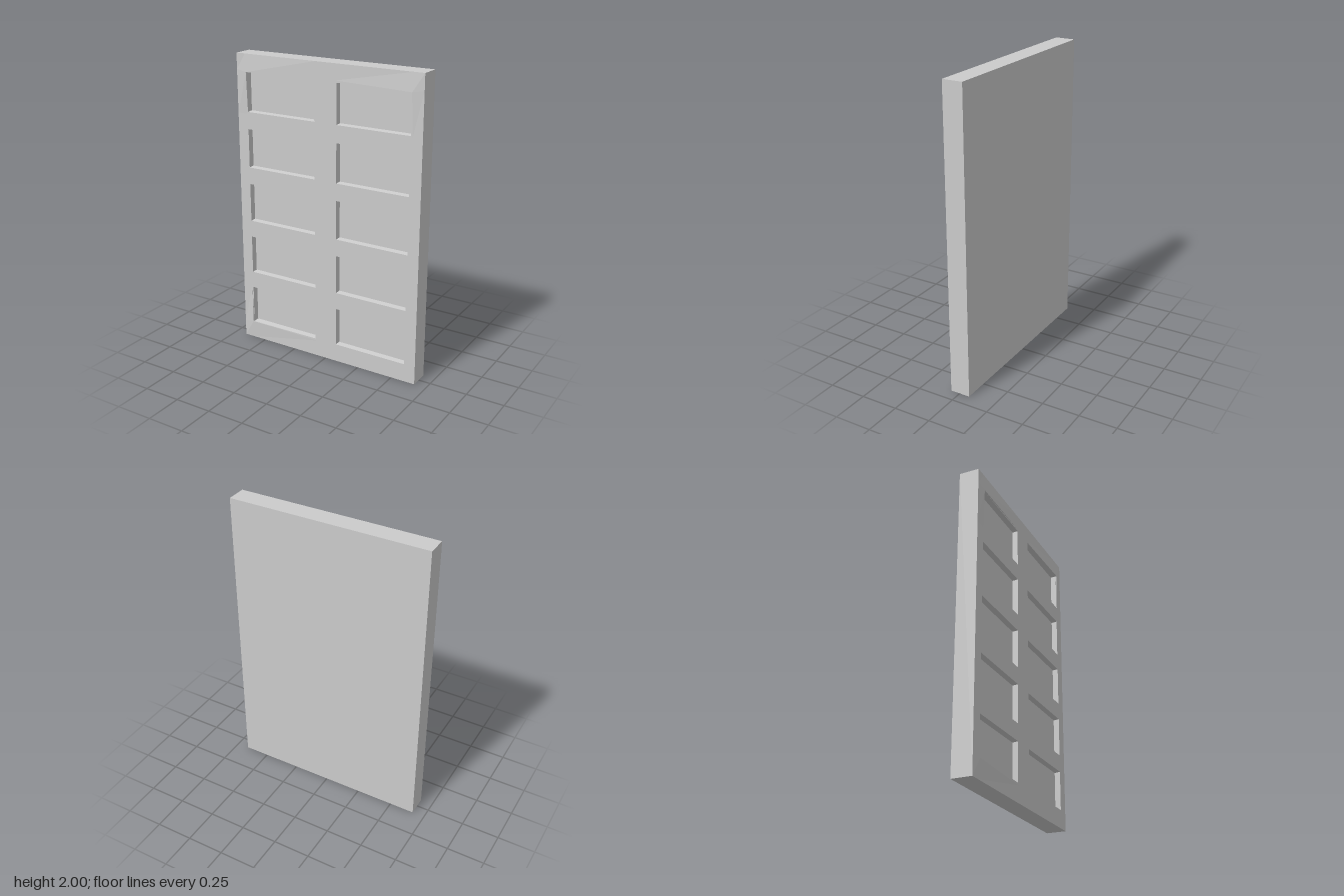
import * as THREE from 'three';

const W = 0.667, H = 2, BACK = -0.07, FRONT = 0.063, FLOOR = 0.027;
const ROWS = 5, PITCH = 0.375, FIRST = 0.253;

// Flat-sided mesh from quads; corners run counter-clockwise seen from outside.
function quadMesh(name, quads, material) {
  const pos = [];
  for (const [a, b, c, d] of quads) for (const p of [a, b, c, a, c, d]) pos.push(...p);
  const geometry = new THREE.BufferGeometry();
  geometry.setAttribute('position', new THREE.Float32BufferAttribute(pos, 3));
  geometry.computeVertexNormals();
  const mesh = new THREE.Mesh(geometry, material);
  mesh.name = name;
  return mesh;
}

// Four corners of an upright rectangle
const rect = (x0, x1, y0, y1, z) => [[x0, y0, z], [x1, y0, z], [x1, y1, z], [x0, y1, z]];

// Quads joining one loop to the next
const bridge = (outer, inner) => outer.map((p, i) => {
  const j = (i + 1) % outer.length;
  return [p, outer[j], inner[j], inner[i]];
});

export function createModel() {
  const group = new THREE.Group();
  group.name = 'panelDoor';
  const material = new THREE.MeshStandardMaterial({ color: 0xcccccc, side: THREE.DoubleSide });

  // Grid lines of the front face, along the outer edges of the panel borders
  const xs = [-W, -0.6, -0.07, 0.07, 0.6, W];
  const ys = [0];
  for (let r = 0; r < ROWS; r++) ys.push(FIRST + r * PITCH - 0.143, FIRST + r * PITCH + 0.143);
  ys.push(H);
  const last = ys.length - 2;

  // Three outer border corners are pulled inward and slightly proud
  const point = (i, j) => {
    const proud = (i === 1 && (j === 1 || j === last)) || (i === 4 && j === last);
    if (!proud) return [xs[i], ys[j], FRONT];
    return [Math.sign(xs[i]) * 0.592, j === 1 ? 0.123 : 1.883, 0.071];
  };
  const cell = (i, j) => [point(i, j), point(i + 1, j), point(i + 1, j + 1), point(i, j + 1)];

  // Slab: back face and four edges
  const backLoop = rect(-W, W, 0, H, BACK);
  const frontLoop = rect(-W, W, 0, H, FRONT);
  group.add(quadMesh('slab', [[...backLoop].reverse(), ...bridge(backLoop, frontLoop)], material));

  // Stiles and rails, with a recessed panel in each opening
  const frame = [];
  for (let i = 0; i < xs.length - 1; i++) {
    for (let j = 0; j < ys.length - 1; j++) {
      if (i % 2 === 0 || j % 2 === 0) {
        frame.push(cell(i, j));
        continue;
      }
      const cx = i === 1 ? -0.335 : 0.335;
      const cy = FIRST + ((j - 1) / 2) * PITCH;
      const rim = rect(cx - 0.255, cx + 0.255, cy - 0.13, cy + 0.13, FRONT);
      const floor = rect(cx - 0.25, cx + 0.25, cy - 0.125, cy + 0.125, FLOOR);
      group.add(quadMesh('recessedPanel', [...bridge(cell(i, j), rim), ...bridge(rim, floor), floor], material));
    }
  }
  group.add(quadMesh('stilesAndRails', frame, material));
  return group;
}
